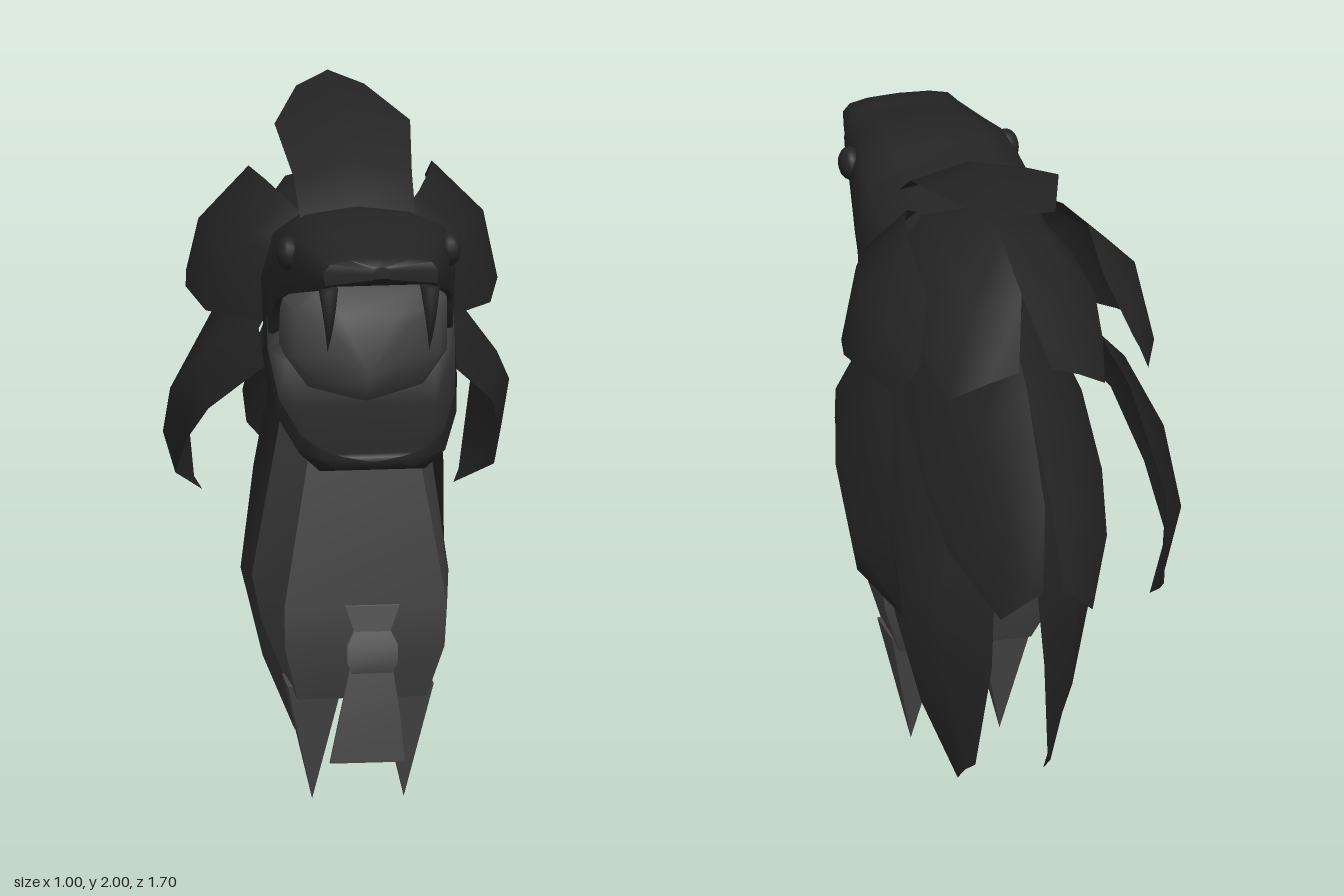
import * as THREE from 'three';
import { toCreasedNormals } from 'three/addons/utils/BufferGeometryUtils.js';

const paint = (color, extra = {}) => new THREE.MeshStandardMaterial({ color, ...extra });
const scaleMat = paint(0x242424);
const bodyMat = paint(0x454545);
const tieMat = paint(0x5c5c5c);
const featherMat = paint(0x242424, { side: THREE.DoubleSide });

// Skin rings of points; closed rings run counter-clockwise about the loft direction.
function loft(rings, closed = true) {
  const n = rings[0].length, cols = closed ? n : n - 1;
  const pos = rings.flat(2), index = [];
  for (let i = 0; i < rings.length - 1; i++) {
    for (let j = 0; j < cols; j++) {
      const k = (j + 1) % n, a = i * n + j, b = i * n + k;
      index.push(a, b, b + n, a, b + n, a + n);
    }
  }
  if (closed) {
    const last = (rings.length - 1) * n;
    for (let j = 1; j < n - 1; j++) {
      index.push(0, j + 1, j, last, last + j, last + j + 1);
    }
  }
  const geo = new THREE.BufferGeometry();
  geo.setAttribute('position', new THREE.Float32BufferAttribute(pos, 3));
  geo.setIndex(index);
  geo.computeVertexNormals();
  return closed ? toCreasedNormals(geo, 0.95) : geo;
}

export function createModel() {
  const group = new THREE.Group();
  const add = (name, geo, mat, x = 0, y = 0, z = 0) => {
    const mesh = new THREE.Mesh(geo, mat);
    mesh.name = name;
    mesh.position.set(x, y, z);
    group.add(mesh);
    return mesh;
  };

  // Head with a slightly arched palate: [z, half width, top, bottom], from back to front
  const headRing = ([z, w, top, bot]) => {
    const at = t => bot + (top - bot) * t;
    const side = [[0.55 * w, at(0.95)], [0.88 * w, at(0.8)], [w, at(0.5)], [0.97 * w, bot],
      [0.75 * w, at(0.1)]];
    return [[0, top, z], ...side.map(([x, y]) => [-x, y, z]),
      ...side.map(([x, y]) => [x, y, z]).reverse()];
  };
  add('upperHead', loft([
    [0.04, 0.25, 1.76, 1.38], [0.16, 0.28, 1.78, 1.36], [0.28, 0.28, 1.80, 1.42],
    [0.30, 0.275, 1.80, 1.50], [0.38, 0.265, 1.82, 1.56], [0.48, 0.245, 1.845, 1.60],
    [0.60, 0.22, 1.82, 1.635], [0.76, 0.185, 1.795, 1.68], [0.82, 0.17, 1.79, 1.71],
    [0.85, 0.03, 1.77, 1.73],
  ].map(headRing)), scaleMat);

  // Shallow trough of a lower jaw, same station order
  const jawRing = ([z, w, top, bot]) => {
    const mid = (top + bot) / 2, floor = bot + (top - bot) * 0.75;
    return [[0, bot, z], [0.72 * w, bot, z], [w, mid, z], [0.98 * w, top, z],
      [0.78 * w, floor, z], [-0.78 * w, floor, z],
      [-0.98 * w, top, z], [-w, mid, z], [-0.72 * w, bot, z]];
  };
  add('lowerJaw', loft([
    [0.06, 0.22, 1.46, 1.32], [0.13, 0.27, 1.50, 1.21], [0.27, 0.282, 1.48, 1.20],
    [0.30, 0.282, 1.39, 1.20], [0.44, 0.265, 1.275, 1.165], [0.59, 0.215, 1.20, 1.09],
    [0.65, 0.16, 1.17, 1.11], [0.66, 0.10, 1.15, 1.13],
  ].map(jawRing)), scaleMat);

  // Face peering out of the open mouth: one outline shrunk towards the front
  const half = [[0.24, 1.40], [0.24, 1.56], [0.16, 1.62]];
  const outline = [[0, 1.25], [0.17, 1.30], ...half,
    ...half.map(([x, y]) => [-x, y]).reverse(), [-0.17, 1.30]];
  add('innerFace', loft([[0.2, 1], [0.41, 1], [0.47, 0.88], [0.52, 0.5]].map(([z, s]) =>
    outline.map(([x, y]) => [x * s, 1.45 + (y - 1.45) * s, z]))), bodyMat);

  // Body: levels of [y, front half width, front z, back half width, back z]
  add('body', loft([
    [0.33, 0.19, 0.32, 0.20, 0.10], [0.50, 0.235, 0.395, 0.265, 0.02],
    [0.63, 0.24, 0.415, 0.29, 0.005], [1.21, 0.14, 0.35, 0.20, 0.09],
    [1.32, 0.12, 0.33, 0.18, 0.10],
  ].map(([y, fw, fz, bw, bz]) =>
    [[fw, y, fz], [bw, y, bz], [-bw, y, bz], [-fw, y, fz]])), bodyMat);

  // Tie floating before the chest: [y, half width, z, half thickness]
  const plate = ([y, w, z, t]) =>
    [[-w, y, z + t], [w, y, z + t], [w, y, z - t], [-w, y, z - t]];
  add('tie', loft([
    [0.17, 0.11, 0.455, 0.008], [0.32, 0.09, 0.52, 0.008], [0.47, 0.065, 0.56, 0.008],
    [0.59, 0.05, 0.58, 0.008], [0.68, 0.08, 0.593, 0.006],
  ].map(plate)), tieMat);
  add('tieKnot', loft([
    [0.47, 0.06, 0.57, 0.008], [0.51, 0.075, 0.588, 0.015],
    [0.56, 0.075, 0.588, 0.015], [0.60, 0.055, 0.588, 0.008],
  ].map(plate)), tieMat);

  // Crest: [z, half width, ridge height, edge height]
  add('crestFeather', loft([
    [0.21, 0.17, 1.78, 1.76], [0.07, 0.175, 1.89, 1.85], [-0.20, 0.20, 1.99, 1.94],
    [-0.52, 0.10, 2.00, 1.97], [-0.58, 0.01, 2.00, 1.995],
  ].map(([z, w, r, e]) => [[-w, e, z], [0, r, z], [w, e, z]]), false), featherMat);

  // Paired feathers, root to tip: [one edge, ridge, other edge]
  const feathers = {
    upperSideFeather: [
      [[0.14, 1.73, 0.10], [0.25, 1.62, 0.10], [0.25, 1.42, 0.10]],
      [[0.20, 1.78, 0.02], [0.32, 1.66, 0.05], [0.31, 1.42, 0.07]],
      [[0.24, 1.80, -0.10], [0.38, 1.66, -0.07], [0.42, 1.42, -0.05]],
      [[0.27, 1.80, -0.26], [0.42, 1.65, -0.24], [0.46, 1.45, -0.22]],
      [[0.27, 1.71, -0.44], [0.39, 1.61, -0.42], [0.44, 1.46, -0.38]],
      [[0.32, 1.57, -0.58], [0.34, 1.53, -0.58], [0.38, 1.44, -0.53]],
    ],
    upperBackFeather: [
      [[0, 1.74, 0.10], [0.14, 1.73, 0.10], [0.24, 1.62, 0.10]],
      [[0, 1.80, -0.08], [0.16, 1.78, -0.08], [0.28, 1.62, -0.06]],
      [[0, 1.80, -0.28], [0.16, 1.76, -0.28], [0.29, 1.58, -0.27]],
      [[0, 1.71, -0.51], [0.15, 1.66, -0.50], [0.27, 1.50, -0.43]],
      [[0.05, 1.53, -0.66], [0.14, 1.49, -0.63], [0.24, 1.42, -0.56]],
    ],
    backFeather: [
      [[0, 1.62, -0.15], [0.14, 1.55, -0.10], [0.22, 1.36, 0.05]],
      [[0, 1.56, -0.40], [0.16, 1.44, -0.36], [0.27, 1.24, -0.20]],
      [[0, 1.43, -0.57], [0.15, 1.30, -0.57], [0.27, 1.08, -0.42]],
      [[0.01, 1.15, -0.80], [0.12, 1.10, -0.76], [0.24, 0.94, -0.58]],
      [[0.03, 0.90, -0.85], [0.07, 0.87, -0.83], [0.14, 0.80, -0.78]],
    ],
    sideFeather: [
      [[0.25, 1.42, 0.02], [0.28, 1.40, 0.10], [0.27, 1.30, 0.16]],
      [[0.32, 1.42, -0.20], [0.44, 1.27, -0.06], [0.42, 1.14, 0.02]],
      [[0.36, 1.33, -0.40], [0.50, 1.13, -0.27], [0.46, 0.99, -0.20]],
      [[0.42, 1.05, -0.58], [0.50, 0.95, -0.46], [0.47, 0.84, -0.40]],
      [[0.40, 0.79, -0.63], [0.39, 0.77, -0.62], [0.37, 0.74, -0.58]],
    ],
    lowerFeather: [
      [[0.02, 1.42, -0.12], [0.17, 1.36, -0.02], [0.25, 1.22, 0.08]],
      [[0.03, 1.12, -0.32], [0.20, 1.05, -0.23], [0.28, 0.95, -0.04]],
      [[0.06, 0.80, -0.44], [0.22, 0.70, -0.36], [0.30, 0.60, -0.20]],
      [[0.08, 0.50, -0.47], [0.19, 0.42, -0.38], [0.23, 0.32, -0.24]],
      [[0.11, 0.17, -0.40], [0.13, 0.14, -0.36], [0.13, 0.08, -0.28]],
    ],
  };

  // Curved fang, hanging from the snout
  const fang = new THREE.ConeGeometry(0.032, 0.2, 6, 4).rotateX(Math.PI);
  const p = fang.attributes.position;
  for (let i = 0; i < p.count; i++) {
    const t = (0.1 - p.getY(i)) / 0.2;
    p.setZ(i, p.getZ(i) + 0.03 * Math.sin(t * Math.PI) - 0.015 * t);
  }
  fang.computeVertexNormals();

  // Square tapering leg
  const leg = toCreasedNormals(
    new THREE.ConeGeometry(0.113, 0.36, 4).rotateY(Math.PI / 4).rotateX(Math.PI), 0.75);

  for (const [side, s] of [['left', 1], ['right', -1]]) {
    for (const [name, rows] of Object.entries(feathers)) {
      const rings = rows.map(row => row.map(([x, y, z]) => [s * x, y, z]));
      add(`${side} ${name}`, loft(rings, false), featherMat);
    }
    add(`${side} eye`, new THREE.SphereGeometry(0.05, 14, 10), scaleMat, s * 0.238, 1.73, 0.5)
      .scale.x = 0.7;
    add(`${side} fang`, fang, scaleMat, s * 0.15, 1.59, 0.765);
    add(`${side} leg`, leg, bodyMat, s * 0.135, 0.18, 0.21);
  }
  return group;
}
